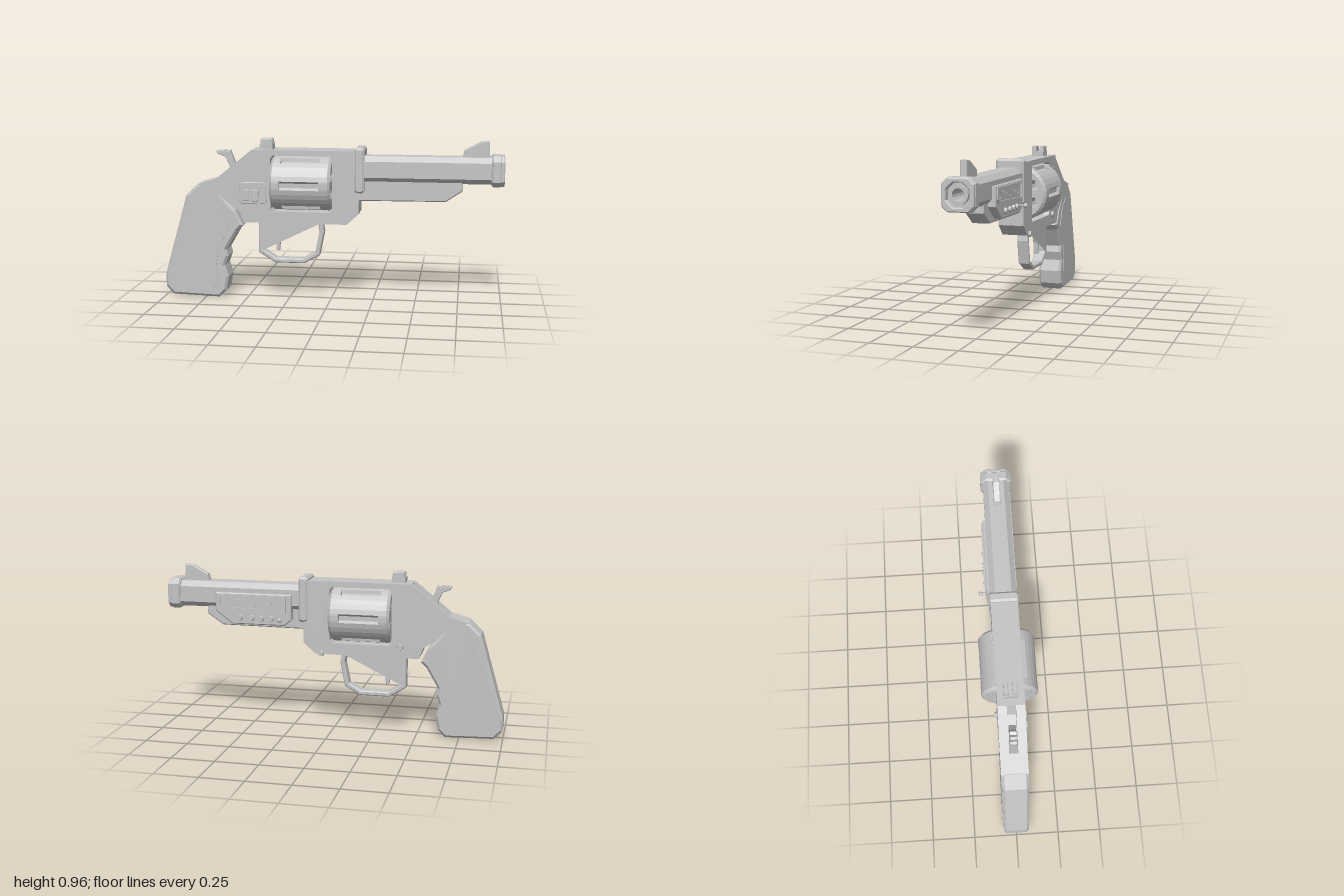
import * as THREE from 'three';

const steel = new THREE.MeshStandardMaterial({ color: 0xc4c4c4 });
steel.name = 'grey steel';

const shapeOf = (pts) => new THREE.Shape(pts.map(([x, y]) => new THREE.Vector2(x, y)));

// regular ring of points, used for round holes and discs
const ring = (r, n, cx = 0, cy = 0, turn = 0) => Array.from({ length: n }, (_, i) => {
  const a = turn + (i / n) * Math.PI * 2;
  return [cx + r * Math.cos(a), cy + r * Math.sin(a)];
});

// square with cut corners
const cutBox = (hw, hh, c, cx = 0, cy = 0) => [
  [hw, -hh + c], [hw, hh - c], [hw - c, hh], [-hw + c, hh],
  [-hw, hh - c], [-hw, -hh + c], [-hw + c, -hh], [hw - c, -hh],
].map(([x, y]) => [x + cx, y + cy]);

// side outline extruded between two depths, with optional holes and edge bevel
function slab(pts, z0, z1, bevel = 0, holes = []) {
  const s = shapeOf(pts);
  s.holes = holes.map(shapeOf);
  const g = new THREE.ExtrudeGeometry(s, {
    depth: z1 - z0 - 2 * bevel, bevelEnabled: bevel > 0, bevelSize: bevel,
    bevelThickness: bevel, bevelOffset: -bevel, bevelSegments: 1,
  });
  return g.translate(0, 0, z0 + bevel);
}

// the same, but running along x from x0 to x1 at height y
const along = (pts, x0, x1, y, bevel = 0, holes = []) =>
  slab(pts, x0, x1, bevel, holes).rotateY(Math.PI / 2).translate(0, y, 0);

export function createModel() {
  const model = new THREE.Group();
  const add = (name, geo) => {
    const m = new THREE.Mesh(geo, steel);
    m.name = name;
    model.add(m);
    return m;
  };
  const box = (name, w, h, d, x, y, z) => add(name, new THREE.BoxGeometry(w, h, d).translate(x, y, z));
  const knob = (name, r, len, x, y, z) =>
    add(name, new THREE.CylinderGeometry(r * 0.75, r, len, 8).toNonIndexed().rotateX(-Math.PI / 2).translate(x, y, z));

  // frame: two side plates around a core that leaves a hammer slot
  const lower = [[-0.79, 0.685], [-0.65, 0.62], [-0.61, 0.585], [-0.535, 0.53], [-0.51, 0.465],
    [0.1, 0.465], [0.17, 0.53], [0.17, 0.895], [-0.46, 0.895]];
  const opening = [cutBox(0.182, 0.165, 0.015, -0.167, 0.698)];
  const sideOutline = [...lower, [-0.68, 0.717]];
  const coreOutline = [...lower, [-0.48, 0.79], [-0.6, 0.69], [-0.68, 0.717]];
  add('frameSideLeft', slab(sideOutline, 0.025, 0.076, 0, opening));
  add('frameSideRight', slab(sideOutline, -0.076, -0.025, 0, opening));
  add('frameCore', slab(coreOutline, -0.025, 0.025, 0, opening));
  add('frameCollar', slab(cutBox(0.029, 0.132, 0.012, 0.171, 0.783), -0.084, 0.084, 0.012));

  // grip with finger grooves and a thin panel on each side
  add('grip', slab([[-0.95, 0.012], [-0.67, 0.003], [-0.627, 0.045], [-0.612, 0.13], [-0.632, 0.2],
    [-0.612, 0.255], [-0.622, 0.295], [-0.555, 0.41], [-0.52, 0.445], [-0.565, 0.535], [-0.61, 0.582],
    [-0.7, 0.69], [-0.79, 0.686], [-0.86, 0.62], [-0.998, 0.14], [-0.998, 0.06]], -0.074, 0.074, 0.014));
  const panel = [[-0.91, 0.06], [-0.7, 0.055], [-0.67, 0.12], [-0.685, 0.2], [-0.67, 0.3],
    [-0.6, 0.43], [-0.64, 0.54], [-0.72, 0.6], [-0.8, 0.59], [-0.94, 0.12]];
  for (const s of [-1, 1]) add('gripPanel', slab(panel, s * 0.0755 - 0.002, s * 0.0755 + 0.002));

  // revolving cylinder: fluted middle, plain rims, chamfered ends, six chambers
  const R = 0.16, CY = 0.698;
  const chambers = Array.from({ length: 6 }, (_, k) => {
    const a = (k + 0.5) * Math.PI / 3;
    return [0.103 * Math.cos(a), 0.103 * Math.sin(a)];
  });
  const bores = chambers.map(([x, y]) => ring(0.032, 10, x, y));
  const fluted = [];
  for (let k = 0; k < 6; k++) {
    for (const [da, r] of [[-0.16, R], [-0.09, 0.141], [0.09, 0.141], [0.16, R], [0.34, R], [0.523, R], [0.707, R]]) {
      const a = k * Math.PI / 3 + da;
      fluted.push([r * Math.cos(a), r * Math.sin(a)]);
    }
  }
  const round = fluted.map(([x, y]) => {
    const l = Math.hypot(x, y);
    return [x * R / l, y * R / l];
  });
  const rim = (x0, x1, end) => {
    const g = along(round, x0, x1, 0, 0, bores);
    const p = g.attributes.position;
    for (let i = 0; i < p.count; i++) {
      if (Math.abs(p.getX(i) - end) < 1e-4 && Math.hypot(p.getY(i), p.getZ(i)) > 0.15) {
        p.setXYZ(i, p.getX(i), p.getY(i) * 0.91, p.getZ(i) * 0.91);
      }
    }
    g.computeVertexNormals();
    return g.translate(0, CY, 0);
  };
  add('cylinderMiddle', along(fluted, -0.285, -0.055, CY, 0, bores));
  add('cylinderRearRim', along(round, -0.33, -0.285, CY, 0, bores));
  add('cylinderFrontRim', along(round, -0.055, -0.005, CY, 0, bores));
  add('cylinderRearChamfer', rim(-0.345, -0.33, -0.345));
  add('cylinderFrontChamfer', rim(-0.005, 0.01, 0.01));
  for (const [x, y] of chambers) add('cartridge', along(ring(0.03, 10, x, y), -0.347, -0.1, CY));
  add('cylinderAxle', along(ring(0.028, 10), -0.355, 0.03, CY));

  // barrel, bore and muzzle
  const BY = 0.79;
  add('barrel', along(cutBox(0.076, 0.076, 0.03), 0.17, 0.94, BY, 0, [ring(0.034, 16)]));
  const octHole = ring(0.068, 8, 0, 0, Math.PI / 8);
  add('muzzle', along(cutBox(0.091, 0.089, 0.031), 0.925, 0.985, BY, 0.01, [octHole]));
  add('muzzleLip', along(cutBox(0.088, 0.086, 0.03), 0.975, 1.0, BY, 0.005, [octHole]));
  add('muzzleBore', along(ring(0.052, 16), 0.93, 0.985, BY, 0, [ring(0.034, 16)]));
  add('muzzleBack', along(ring(0.072, 8, 0, 0, Math.PI / 8), 0.935, 0.965, BY, 0, [ring(0.034, 16)]));
  add('borePlug', along(ring(0.036, 16), 0.7, 0.72, BY));
  add('underBarrel', slab([[0.16, 0.604], [0.67, 0.608], [0.765, 0.672], [0.765, 0.73], [0.16, 0.73]], -0.052, 0.052, 0.006));

  // long rounded panel on the left of the barrel
  add('barrelPanel', slab(cutBox(0.313, 0.037, 0.02, 0.572, 0.8), 0.073, 0.079, 0,
    [cutBox(0.305, 0.029, 0.016, 0.572, 0.8)]));
  for (const x of [0.45, 0.5, 0.8]) box('barrelMark', 0.025, 0.008, 0.004, x, 0.8, 0.076);

  // instrument box on the right of the barrel
  add('sideUnit', slab([[0.24, 0.66], [0.28, 0.625], [0.6, 0.625], [0.7, 0.7], [0.7, 0.81], [0.24, 0.81]], -0.094, -0.045, 0.006));
  add('sideScreenFrame', slab([[0.27, 0.7], [0.66, 0.715], [0.68, 0.735], [0.68, 0.8], [0.27, 0.8]], -0.102, -0.092, 0,
    [[[0.285, 0.713], [0.65, 0.727], [0.667, 0.742], [0.667, 0.788], [0.285, 0.788]]]));
  for (let i = 0; i < 7; i++) box('screenMark', 0.03, 0.008, 0.006, 0.32 + i * 0.05, 0.74 + (i % 3) * 0.015, -0.095);
  for (const x of [0.36, 0.42, 0.48, 0.55]) knob('dial', 0.019, 0.018, x, 0.665, -0.1);
  knob('leverStem', 0.007, 0.04, 0.3, 0.665, -0.11);
  add('leverTip', new THREE.IcosahedronGeometry(0.014, 1).translate(0.3, 0.665, -0.128));

  // sights
  add('frontSight', slab([[0.76, 0.86], [0.915, 0.86], [0.912, 0.96], [0.865, 0.956], [0.77, 0.905]], -0.019, 0.019, 0.004));
  box('rearSightBase', 0.078, 0.04, 0.074, -0.38, 0.905, 0);
  for (const s of [-1, 1]) {
    add('rearSightPost', slab([[-0.418, 0.9], [-0.342, 0.9], [-0.347, 0.956], [-0.412, 0.956]],
      s * 0.0245 - 0.0125, s * 0.0245 + 0.0125, 0.003));
  }

  // hammer with a serrated spur
  add('hammer', slab([[-0.61, 0.67], [-0.51, 0.67], [-0.53, 0.76], [-0.565, 0.79], [-0.588, 0.85], [-0.602, 0.885],
    [-0.618, 0.875], [-0.632, 0.888], [-0.645, 0.876], [-0.658, 0.886], [-0.67, 0.876], [-0.684, 0.882],
    [-0.675, 0.862], [-0.63, 0.845], [-0.605, 0.79]], -0.02, 0.02, 0.003));

  // trigger and guard
  add('triggerGuard', slab([[-0.432, 0.47], [-0.432, 0.278], [-0.335, 0.217], [-0.158, 0.217], [-0.068, 0.268], [-0.04, 0.41], [-0.05, 0.47]],
    -0.034, 0.034, 0.006,
    [[[-0.405, 0.462], [-0.405, 0.293], [-0.327, 0.244], [-0.167, 0.244], [-0.093, 0.285], [-0.067, 0.41], [-0.076, 0.462]]]));
  add('trigger', slab([[-0.33, 0.295], [-0.31, 0.288], [-0.306, 0.36], [-0.285, 0.415], [-0.245, 0.47], [-0.3, 0.47],
    [-0.318, 0.41], [-0.345, 0.38], [-0.325, 0.35]], -0.016, 0.016, 0.003));

  // raised plate with two switches on the left of the frame
  add('switchPlate', slab(cutBox(0.08, 0.063, 0.012, -0.455, 0.642), 0.07, 0.084, 0.003));
  for (const x of [-0.495, -0.44]) add('switch', slab(cutBox(0.02, 0.034, 0.006, x, 0.628), 0.08, 0.091, 0.003));

  // frame screws and pins
  knob('frameScrew', 0.022, 0.02, -0.4, 0.53, -0.08);
  knob('frontScrew', 0.02, 0.02, 0.065, 0.47, -0.08);
  for (const [x, y] of [[-0.56, 0.7], [-0.44, 0.82], [-0.56, 0.58]]) {
    for (const s of [-1, 1]) {
      add('framePin', new THREE.CylinderGeometry(0.008, 0.008, 0.008, 8).rotateX(Math.PI / 2).translate(x, y, s * 0.075));
    }
  }
  return model;
}
